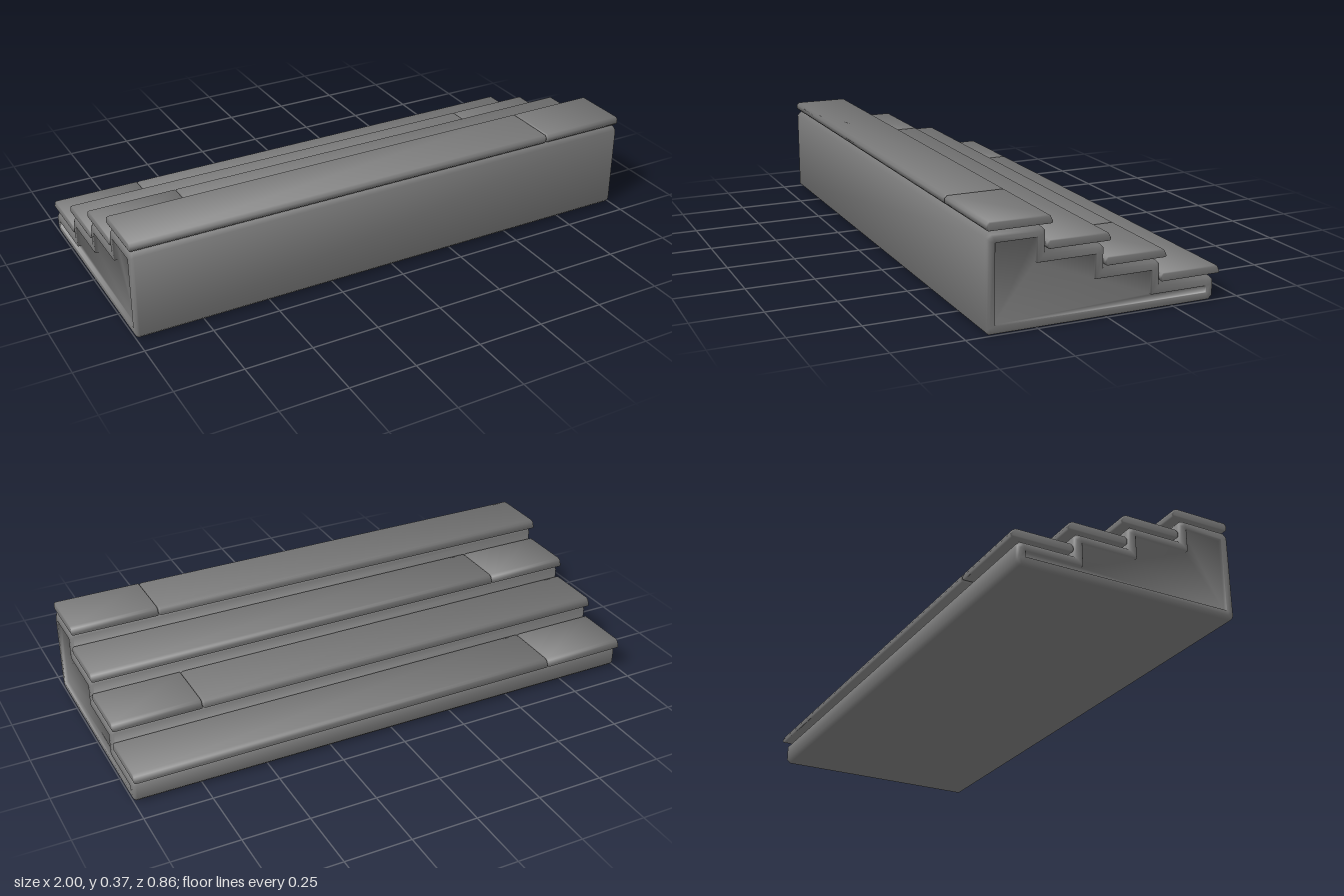
import * as THREE from 'three';
import { toCreasedNormals } from 'three/addons/utils/BufferGeometryUtils.js';

const material = new THREE.MeshStandardMaterial({ color: 0x7a7a7a });
const STEPS = 4, RISE = 0.0833, RUN = 0.21, FRONT = 0.43;
const SMOOTH = 1.7; // crease angle that keeps bevels and right angles soft

// Corners of the stair outline as (z, y), counter-clockwise
function stairCorners() {
  const corners = [new THREE.Vector2(FRONT, 0), new THREE.Vector2(FRONT, STEPS * RISE)];
  for (let i = STEPS; i > 0; i--) {
    const z = 0.224 - (STEPS - i) * RUN;
    corners.push(new THREE.Vector2(z, i * RISE), new THREE.Vector2(z, (i - 1) * RISE));
  }
  return corners;
}

// Outline moved inward by inset; outer corners are cut by chamfer. Two points per corner.
function outline(inset, chamfer) {
  const c = stairCorners(), n = c.length, points = [];
  for (let i = 0; i < n; i++) {
    const a = c[i].clone().sub(c[(i + n - 1) % n]).normalize();
    const b = c[(i + 1) % n].clone().sub(c[i]).normalize();
    const p = c[i].clone().add(new THREE.Vector2(-a.y - b.y, a.x + b.x).multiplyScalar(inset));
    const cut = a.cross(b) > 0 ? chamfer : 0;
    points.push(p.clone().addScaledVector(a, -cut), p.clone().addScaledVector(b, cut));
  }
  return points;
}

// Solid stair body with a shallow rimmed recess in both ends
function stairBody() {
  const half = [
    [0.031, 0, 0.985], [0.031, 0, 0.998], [0.029, 0, 1],
    [0.012, 0.013, 1], [0.004, 0.013, 0.996], [0, 0.013, 0.988],
  ];
  const rings = [
    ...half.map(([inset, cut, x]) => ({ x: -x, pts: outline(inset, cut) })),
    ...half.slice().reverse().map(([inset, cut, x]) => ({ x, pts: outline(inset, cut) })),
  ];
  const positions = [];
  const add = (ring, i) => positions.push(ring.x, ring.pts[i].y, ring.pts[i].x);
  for (let k = 0; k < rings.length - 1; k++) {
    const r = rings[k], s = rings[k + 1], n = r.pts.length;
    for (let i = 0; i < n; i++) {
      const j = (i + 1) % n;
      // Uncut corners have zero-width strips
      if (r.pts[i].distanceTo(r.pts[j]) > 1e-6) {
        add(r, i); add(s, j); add(r, j);
      }
      if (s.pts[i].distanceTo(s.pts[j]) > 1e-6) {
        add(r, i); add(s, i); add(s, j);
      }
    }
  }
  // Recessed end panels
  const first = rings[0], last = rings[rings.length - 1];
  const panel = first.pts.filter((_, i) => i % 2 === 0);
  for (const [a, b, c] of THREE.ShapeUtils.triangulateShape(panel, [])) {
    [a, b, c].forEach((i) => add(first, i * 2));
    [c, b, a].forEach((i) => add(last, i * 2));
  }
  const geometry = new THREE.BufferGeometry();
  geometry.setAttribute('position', new THREE.Float32BufferAttribute(positions, 3));
  return toCreasedNormals(geometry, SMOOTH);
}

// Tread board with a sloped nose, running from x0 to x1
function board(x0, x1) {
  const profile = [
    [0.009, 0], [0.224, 0], [0.23, 0.003], [0.23, 0.01], [0.222, 0.026],
    [0.211, 0.033], [0.009, 0.033], [0, 0.024], [0, 0.009],
  ].map(([u, y]) => new THREE.Vector2(u, y));
  const bevel = 0.006;
  const geometry = new THREE.ExtrudeGeometry(new THREE.Shape(profile), {
    depth: x1 - x0 - 2 * bevel, bevelThickness: bevel, bevelSize: bevel,
    bevelOffset: -bevel, bevelSegments: 2,
  });
  geometry.translate(0, 0, x0 + bevel).rotateY(Math.PI / 2);
  return toCreasedNormals(geometry, SMOOTH);
}

export function createModel() {
  const model = new THREE.Group();
  model.name = 'steppedBench';
  const add = (name, geometry, y = 0, z = 0) => {
    const mesh = new THREE.Mesh(geometry, material);
    mesh.name = name;
    mesh.position.set(0, y, z);
    model.add(mesh);
  };

  add('stairBody', stairBody());

  // Each tread is one long and one short board, with the joint on alternating sides
  for (let i = 0; i < STEPS; i++) {
    const joint = i % 2 === 0 ? 0.664 : -0.668;
    const y = 0.3405 - i * RISE, z = FRONT - i * 0.2093;
    add(`treadBoardRight${i + 1}`, board(-1, joint - 0.001), y, z);
    add(`treadBoardLeft${i + 1}`, board(joint + 0.001, 1), y, z);
  }
  return model;
}
